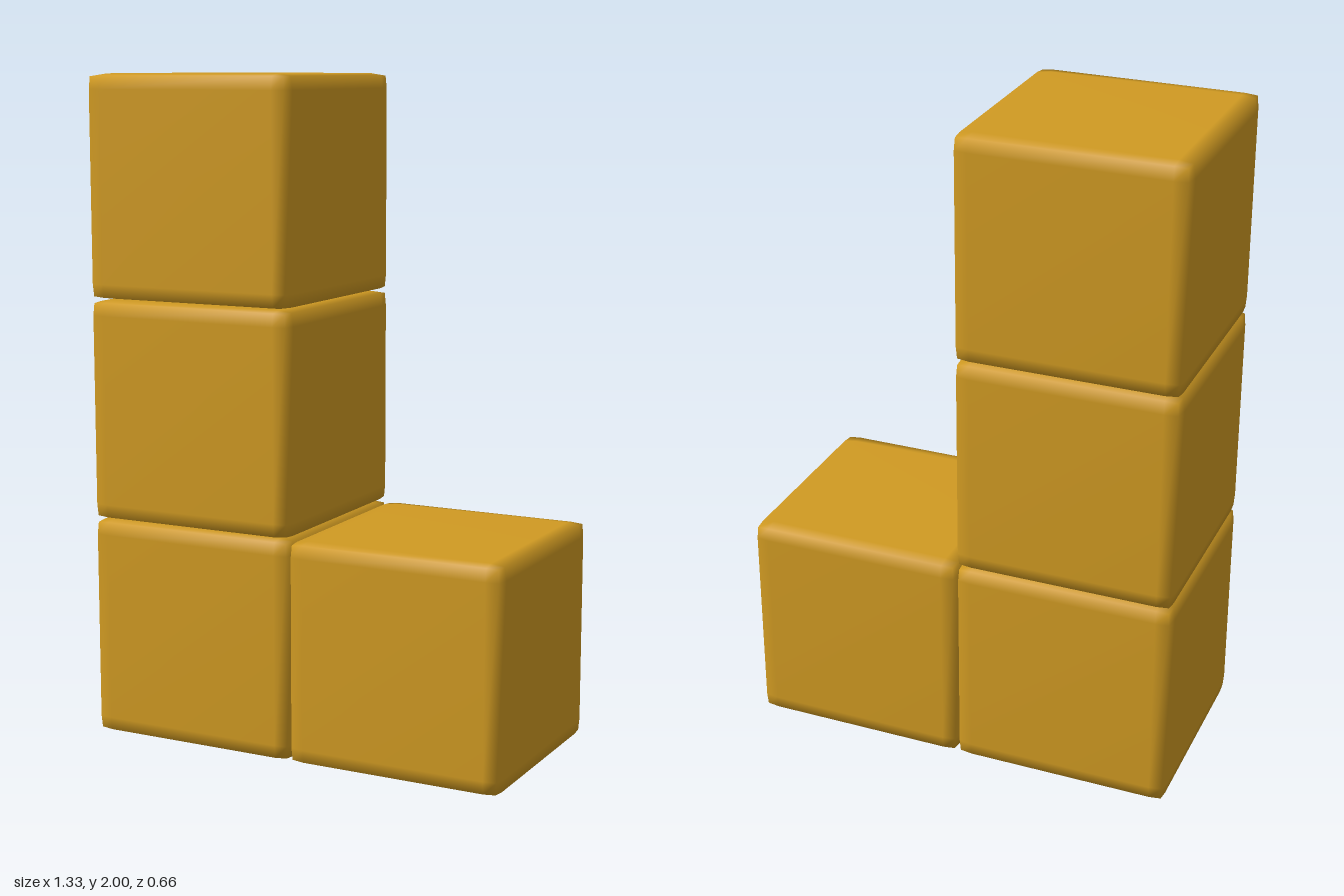
import * as THREE from 'three';
import { mergeVertices } from 'three/addons/utils/BufferGeometryUtils.js';

const PITCH = 2 / 3;  // spacing of the cubes
const SIZE = 0.663;   // cube side, leaving a fine seam
const MARGIN = 0.045; // width of the soft border on each face
const ROUND = 0.02;   // edge rounding radius

// Cube with slightly rounded edges and smooth normals that blend near the borders
function softCube() {
  const half = SIZE / 2;
  const geo = new THREE.BoxGeometry(SIZE, SIZE, SIZE, 3, 3, 3);
  geo.deleteAttribute('uv');
  geo.deleteAttribute('normal');
  const pos = geo.attributes.position;
  const p = new THREE.Vector3();
  const core = new THREE.Vector3();
  const limit = half - ROUND;
  const toBorder = v => Math.sign(v) * (Math.abs(v) > half * 0.9 ? half : half - MARGIN);
  for (let i = 0; i < pos.count; i++) {
    p.fromBufferAttribute(pos, i);
    p.set(toBorder(p.x), toBorder(p.y), toBorder(p.z));
    core.copy(p).clampScalar(-limit, limit);
    p.sub(core).setLength(ROUND).add(core);
    pos.setXYZ(i, p.x, p.y, p.z);
  }
  const merged = mergeVertices(geo, 1e-4);
  merged.computeVertexNormals();
  return merged;
}

export function createModel() {
  const model = new THREE.Group();
  model.name = 'lShapedBlock';
  const amber = new THREE.MeshStandardMaterial({ color: 0xd09a22 });
  amber.name = 'amber';
  const geometry = softCube();

  // Column of three cubes, plus one foot cube beside the lowest
  const cubes = [
    ['lowerCube', 0, 0],
    ['middleCube', 0, 1],
    ['upperCube', 0, 2],
    ['footCube', 1, 0],
  ];
  for (const [name, column, row] of cubes) {
    const cube = new THREE.Mesh(geometry, amber);
    cube.name = name;
    cube.position.set((column - 0.5) * PITCH, (row + 0.5) * PITCH, 0);
    model.add(cube);
  }
  return model;
}
